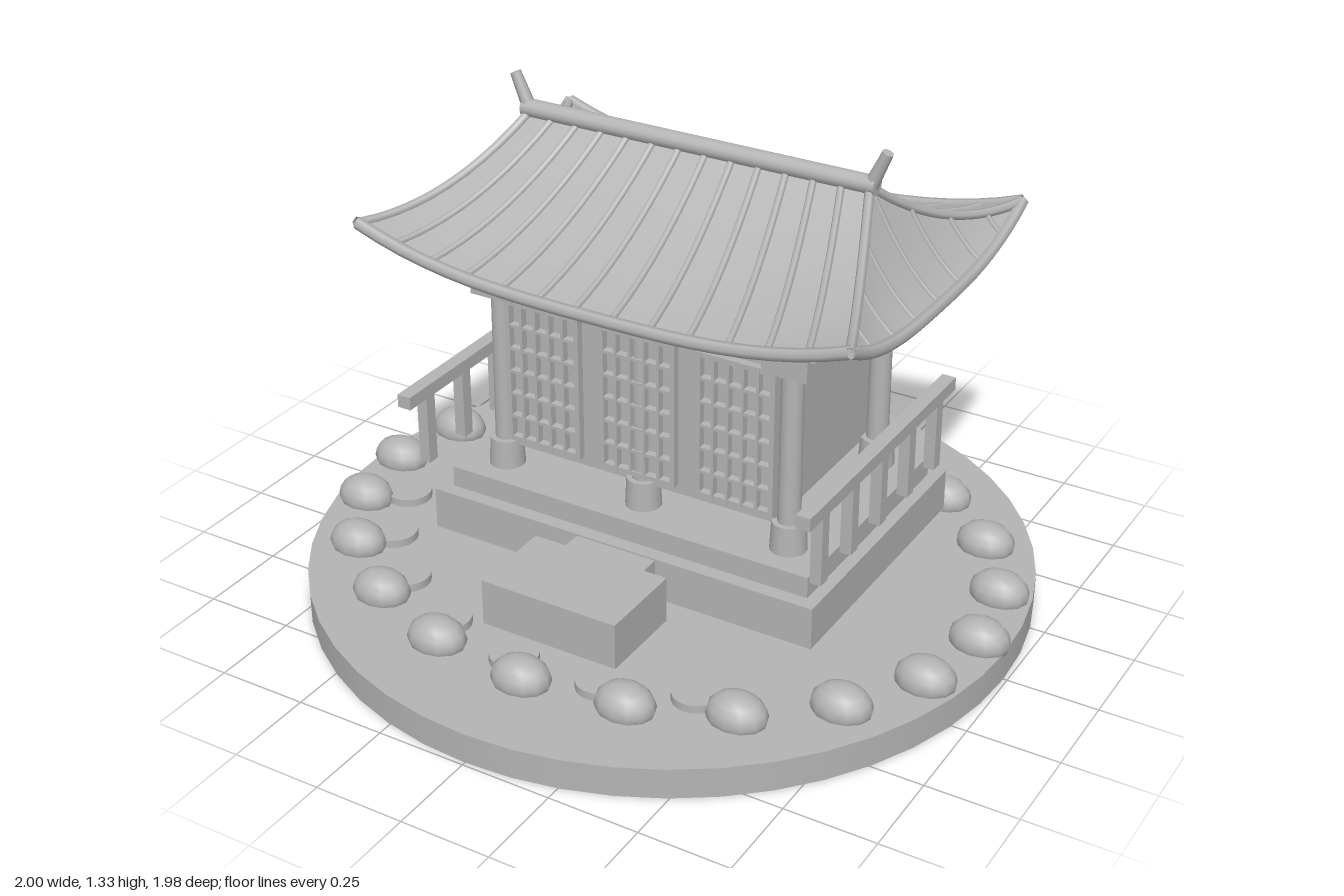
import * as THREE from 'three';

const stone = new THREE.MeshStandardMaterial({ color: 0xb4b4b4 });
stone.name = 'plain grey';
const sheet = stone;
sheet.side = THREE.DoubleSide;

const CZ = -0.11;                       // centre line of the pavilion
const RIDGE = 0.5, EAVE_X = 0.705, EAVE_Z = 0.5;

export function createModel() {
  const model = new THREE.Group();
  model.name = 'pavilion';

  const group = (name) => {
    const g = new THREE.Group();
    g.name = name;
    model.add(g);
    return g;
  };
  const add = (parent, name, geometry, x = 0, y = 0, z = 0) => {
    const m = new THREE.Mesh(geometry, stone);
    m.name = name;
    m.position.set(x, y, z);
    parent.add(m);
    return m;
  };
  // Box given by its limits on each axis
  const block = (parent, name, x0, x1, y0, y1, z0, z1) =>
    add(parent, name, new THREE.BoxGeometry(x1 - x0, y1 - y0, z1 - z0),
      (x0 + x1) / 2, (y0 + y1) / 2, (z0 + z1) / 2);
  const tube = (parent, name, points, radius) =>
    add(parent, name, new THREE.TubeGeometry(new THREE.CatmullRomCurve3(points), 20, radius, 6));

  // Round ground
  add(model, 'ground disc', new THREE.CylinderGeometry(0.99, 0.99, 0.085, 48), 0, 0.0425, 0);

  // Ring of boulders
  const boulders = group('boulders');
  const boulder = new THREE.SphereGeometry(1, 12, 8).scale(0.083, 0.06, 0.066);
  for (let i = 0; i < 20; i++) {
    const a = i * Math.PI / 10;
    add(boulders, 'boulder', boulder, 0.917 * Math.sin(a), 0.1, 0.74 * Math.cos(a));
  }

  // Arc of flat stepping stones
  const path = group('stepping stones');
  for (let i = 0; i < 7; i++) {
    const a = THREE.MathUtils.degToRad(31 - 18 * i);
    add(path, 'stepping stone', new THREE.CylinderGeometry(0.065, 0.065, 0.025, 20),
      0.8 * Math.sin(a), 0.095, 0.67 * Math.cos(a));
  }

  // Platform and front step
  const platform = group('platform');
  block(platform, 'lower tier', -0.58, 0.58, 0.12, 0.24, -0.51, 0.29);
  block(platform, 'upper tier', -0.545, 0.545, 0.24, 0.3, -0.465, 0.25);
  block(platform, 'front step', -0.2, 0.2, 0.12, 0.25, 0.365, 0.615);
  block(platform, 'step link', -0.12, 0.12, 0.165, 0.235, 0.28, 0.37);

  // Hall body and columns
  block(model, 'hall walls', -0.4, 0.4, 0.37, 0.83, -0.375, 0.16);
  const columns = group('columns');
  for (const z of [0.147, -0.362]) {
    for (const x of [-0.435, 0, 0.435]) {
      add(columns, 'column base', new THREE.CylinderGeometry(0.046, 0.05, 0.085, 16), x, 0.34, z);
      add(columns, 'column', new THREE.CylinderGeometry(0.029, 0.031, 0.46, 16), x, 0.6, z);
      block(columns, 'capital', x - 0.064, x + 0.064, 0.815, 0.875, z - 0.05, z + 0.05);
    }
  }

  // Beams under the roof
  const beams = group('beams');
  for (const z of [0.15, -0.365]) {
    block(beams, 'long beam', -0.52, 0.52, 0.875, 0.915, z - 0.045, z + 0.045);
    block(beams, 'upper long beam', -0.5, 0.5, 0.915, 0.948, z - 0.04, z + 0.04);
  }
  for (const x of [-0.46, 0.46]) {
    block(beams, 'cross beam', x - 0.04, x + 0.04, 0.885, 0.947, -0.41, 0.195);
  }

  // Lattice doors
  for (const x of [-0.29, 0, 0.29]) {
    const door = group('lattice door');
    for (let i = 0; i <= 5; i++) {
      const edge = i % 5 === 0 ? 0.007 : 0.004;
      const bx = x - 0.107 + i * 0.0428;
      block(door, 'upright bar', bx - edge, bx + edge, 0.395, 0.815, 0.158, 0.182);
    }
    for (let i = 0; i <= 6; i++) {
      const edge = i % 6 === 0 ? 0.007 : 0.004;
      const by = 0.402 + i * 0.0677;
      block(door, 'cross bar', x - 0.114, x + 0.114, by - edge, by + edge, 0.158, 0.181);
    }
  }

  // Side railings
  for (const x of [-0.595, 0.595]) {
    const railing = group('railing');
    block(railing, 'hand rail', x - 0.02, x + 0.02, 0.53, 0.567, -0.455, 0.385);
    for (let i = 0; i < 5; i++) {
      const z = 0.29 - i * 0.165;
      block(railing, 'baluster', x - 0.016, x + 0.016, 0.33, 0.53, z - 0.018, z + 0.018);
    }
  }

  // Roof surface: t runs from ridge to eave, u from hip to hip (-1 to 1)
  const height = (t, u) => 1.225 - 0.27 * t - 0.14 * t * (1 - t) + 0.09 * t * t * Math.abs(u) ** 3;
  const frontPoint = (t, u, side) => new THREE.Vector3(
    u * (RIDGE + (EAVE_X - RIDGE) * t), height(t, u), CZ + side * EAVE_Z * t);
  const endPoint = (t, u, side) => new THREE.Vector3(
    side * (RIDGE + (EAVE_X - RIDGE) * t), height(t, u), CZ - u * EAVE_Z * t);
  const slope = (fn, side) => {
    const g = new THREE.PlaneGeometry(2, 1, 24, 10);
    const p = g.attributes.position;
    for (let i = 0; i < p.count; i++) {
      // Mirror u with the side so that faces always point outwards
      const v = fn(0.5 - p.getY(i), p.getX(i) * side, side);
      p.setXYZ(i, v.x, v.y, v.z);
    }
    g.computeVertexNormals();
    return g;
  };
  const steps = (n, fn) => Array.from({ length: n + 1 }, (_, i) => fn(i / n));

  const roof = group('roof');
  for (const s of [-1, 1]) {
    add(roof, 'main slope', slope(frontPoint, s));
    add(roof, 'end slope', slope(endPoint, s));
    tube(roof, 'main eave', steps(16, k => frontPoint(1, 2 * k - 1, s)), 0.017);
    tube(roof, 'end eave', steps(16, k => endPoint(1, 2 * k - 1, s)), 0.017);
    for (const u of [-1, 1]) {
      tube(roof, 'hip', steps(8, t => frontPoint(t, u, s)), 0.013);
    }
    // Ribs fan out on the main slopes and run parallel on the end slopes
    for (let i = 1; i < 13; i++) {
      tube(roof, 'main rib', steps(8, t => frontPoint(t, i / 6.5 - 1, s)), 0.01);
    }
    for (let i = 1; i < 8; i++) {
      const c = i / 4 - 1, start = Math.max(Math.abs(c), 0.01);
      tube(roof, 'end rib', steps(8, k => {
        const t = start + (1 - start) * k;
        return endPoint(t, c / t, s);
      }), 0.008);
    }
    // Ridge horn
    const horn = add(roof, 'ridge horn', new THREE.CylinderGeometry(0.015, 0.02, 0.11, 8),
      s * 0.523, 1.275, CZ);
    horn.rotation.z = -s * 0.42;
  }
  const ridge = add(roof, 'ridge pole', new THREE.CylinderGeometry(0.025, 0.025, 1.04, 12), 0, 1.232, CZ);
  ridge.rotation.z = Math.PI / 2;

  return model;
}
